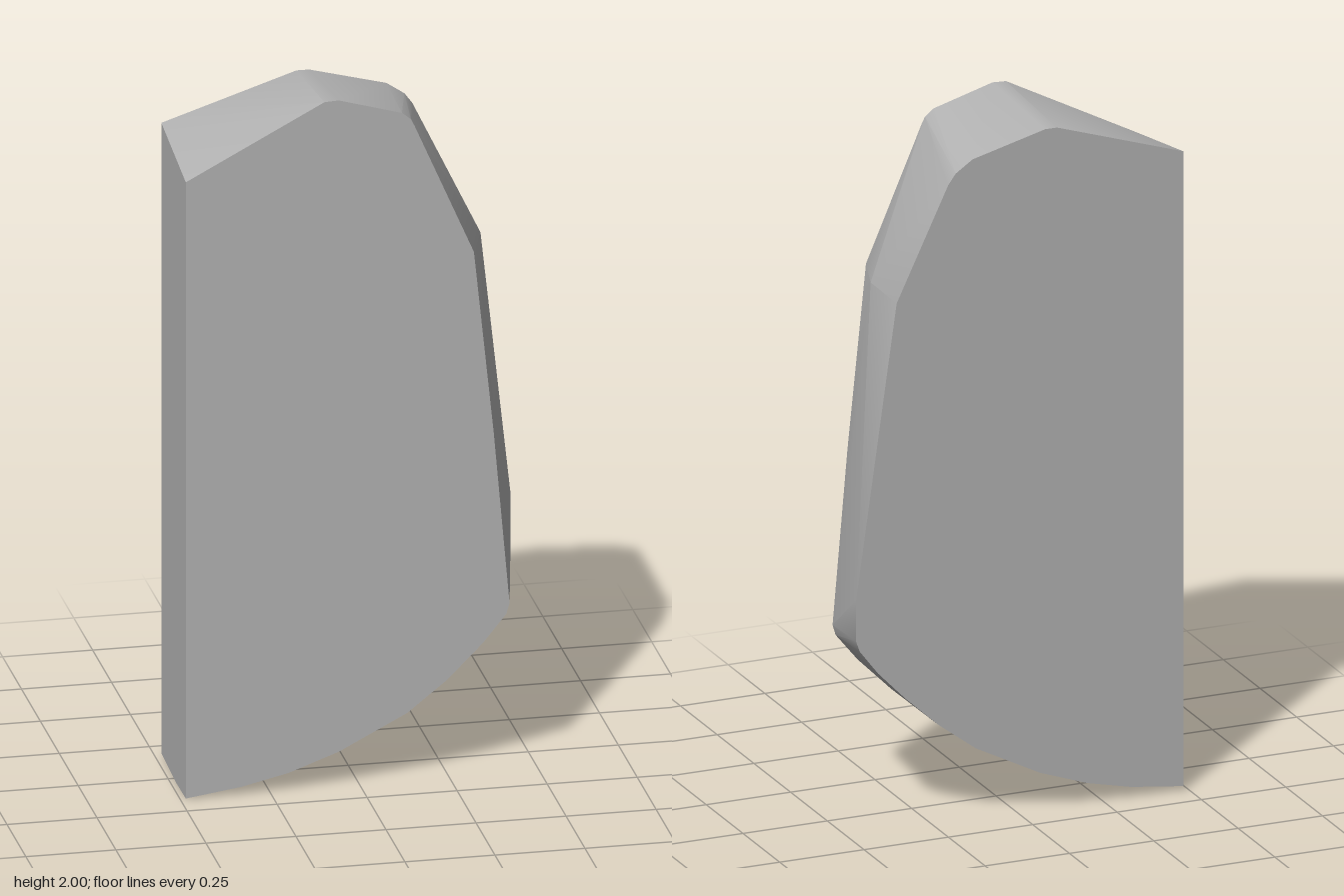
import * as THREE from 'three';
import { ConvexGeometry } from 'three/addons/geometries/ConvexGeometry.js';
import { toCreasedNormals } from 'three/addons/utils/BufferGeometryUtils.js';

const HALF_DEPTH = 0.162;

// Outlines run from the lower straight edge, along the curved base, up and over the top.
const frontOutline = [
  [-0.485, 0.002], [-0.33, 0.024], [-0.2, 0.054], [-0.06, 0.105], [0.13, 0.203], [0.24, 0.29],
  [0.34, 0.39], [0.405, 0.47], [0.414, 0.5], [0.37, 1.0], [0.315, 1.53],
  [0.15, 1.91], [0.14, 1.93], [0.115, 1.95], [-0.06, 2.0], [-0.1, 1.998], [-0.485, 1.795],
];
const backOutline = [
  [-0.485, 0.012], [-0.33, 0.032], [-0.2, 0.062], [-0.06, 0.112], [0.13, 0.21], [0.24, 0.293],
  [0.34, 0.385], [0.42, 0.468], [0.475, 0.54], [0.485, 0.57], [0.485, 0.69],
  [0.365, 1.53], [0.212, 1.85], [0.19, 1.88], [0.14, 1.914], [-0.075, 1.97], [-0.11, 1.97], [-0.485, 1.847],
];

export function createModel() {
  const group = new THREE.Group();
  group.name = 'facetedSlab';

  const grey = new THREE.MeshStandardMaterial({ color: 0xb2b2b2 });
  grey.name = 'stone grey';

  // Both faces span one convex solid, with a small shoulder on the slanted side
  const points = [
    ...frontOutline.map(([x, y]) => new THREE.Vector3(x, y, HALF_DEPTH)),
    ...backOutline.map(([x, y]) => new THREE.Vector3(x, y, -HALF_DEPTH)),
    new THREE.Vector3(0.363, 1.53, 0.02),
    new THREE.Vector3(-0.485, 0, 0.04),
  ];
  const slab = new THREE.Mesh(toCreasedNormals(new ConvexGeometry(points), 0.35), grey);
  slab.name = 'slab';
  group.add(slab);
  return group;
}
